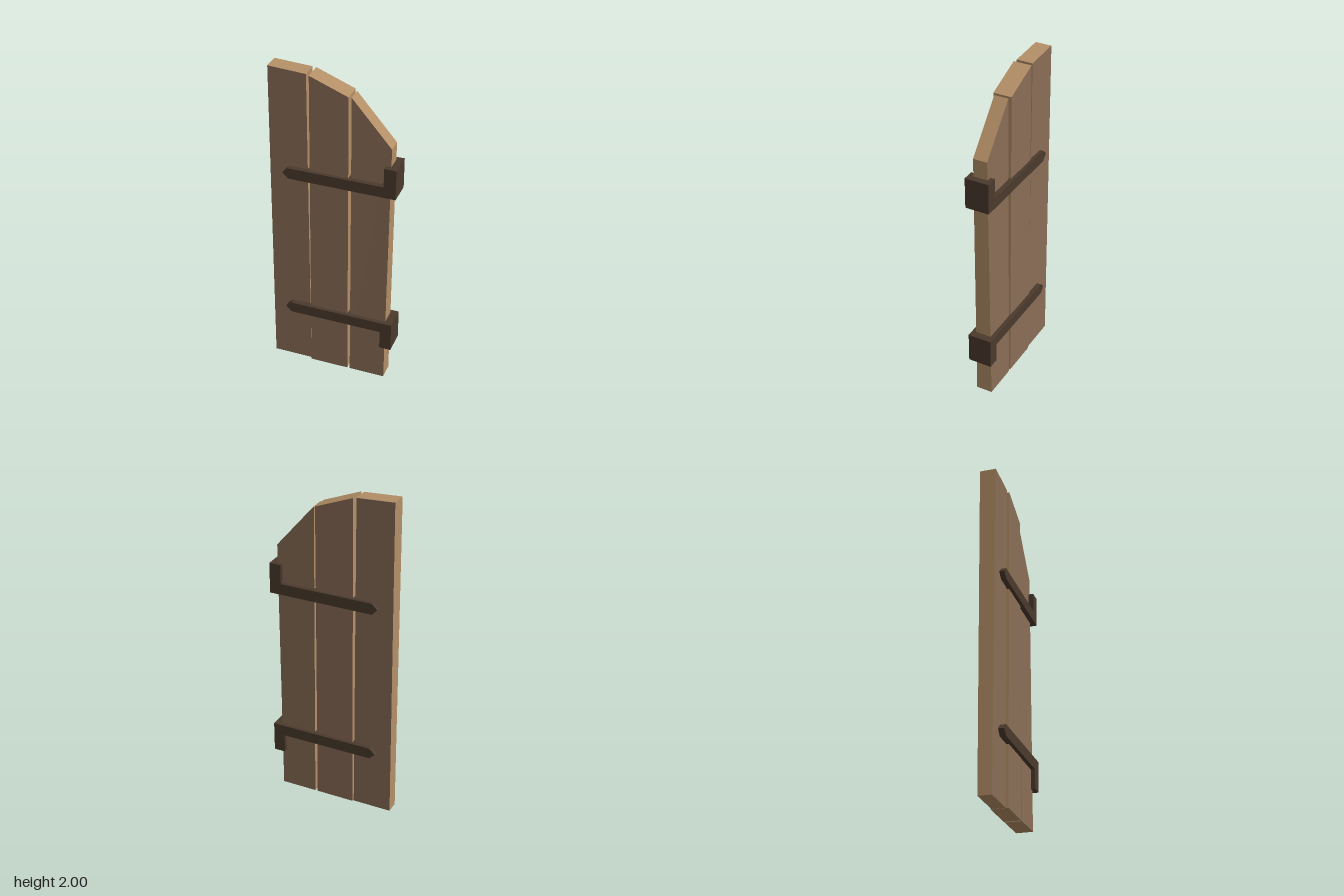
import * as THREE from 'three';

export function createModel() {
  const group = new THREE.Group();
  const material = (name, color) => {
    const m = new THREE.MeshStandardMaterial({ color });
    m.name = name;
    return m;
  };
  const face = material('wood face', 0x8a6e56);
  const edge = material('wood edge', 0xb48f67);
  const iron = material('dark iron', 0x4b3a2d);

  // A plank is a box whose corners are moved; each end is given as
  // x left, x right, y left, y right, z back, z front.
  function plank(name, bottom, top) {
    const geo = new THREE.BoxGeometry(1, 1, 1);
    const p = geo.attributes.position;
    for (let i = 0; i < p.count; i++) {
      const end = p.getY(i) > 0 ? top : bottom;
      const right = p.getX(i) > 0 ? 1 : 0;
      const front = p.getZ(i) > 0 ? 1 : 0;
      p.setXYZ(i, end[right], end[2 + right], end[4 + front]);
    }
    geo.computeVertexNormals();
    const mesh = new THREE.Mesh(geo, [edge, edge, edge, edge, face, face]);
    mesh.name = name;
    group.add(mesh);
  }
  plank('rightPlank', [-0.385, -0.145, 0, 0, -0.043, 0.036], [-0.374, -0.15, 2, 1.988, -0.053, 0.045]);
  plank('middlePlank', [-0.14, 0.099, 0, 0, -0.05, 0.05], [-0.131, 0.096, 1.985, 1.897, -0.057, 0.053]);
  plank('leftPlank', [0.115, 0.335, 0, 0, -0.05, 0.05], [0.109, 0.343, 1.892, 1.62, -0.045, 0.041]);

  // Pointed strap with a square knuckle at the hinge side, through the door
  function hinge(name, y, dir) {
    const outline = [
      [-0.292, 0], [-0.258, -0.034], [0.382, -0.034],
      [0.382, 0.153], [0.311, 0.153], [0.311, 0.034], [-0.258, 0.034],
    ].map(([x, h]) => new THREE.Vector2(x, h * dir));
    const geo = new THREE.ExtrudeGeometry(new THREE.Shape(outline), { depth: 0.146, bevelEnabled: false });
    geo.translate(0, y, -0.073);
    const mesh = new THREE.Mesh(geo, iron);
    mesh.name = name;
    group.add(mesh);
  }
  hinge('upperHinge', 1.357, 1);
  hinge('lowerHinge', 0.398, -1);

  return group;
}
